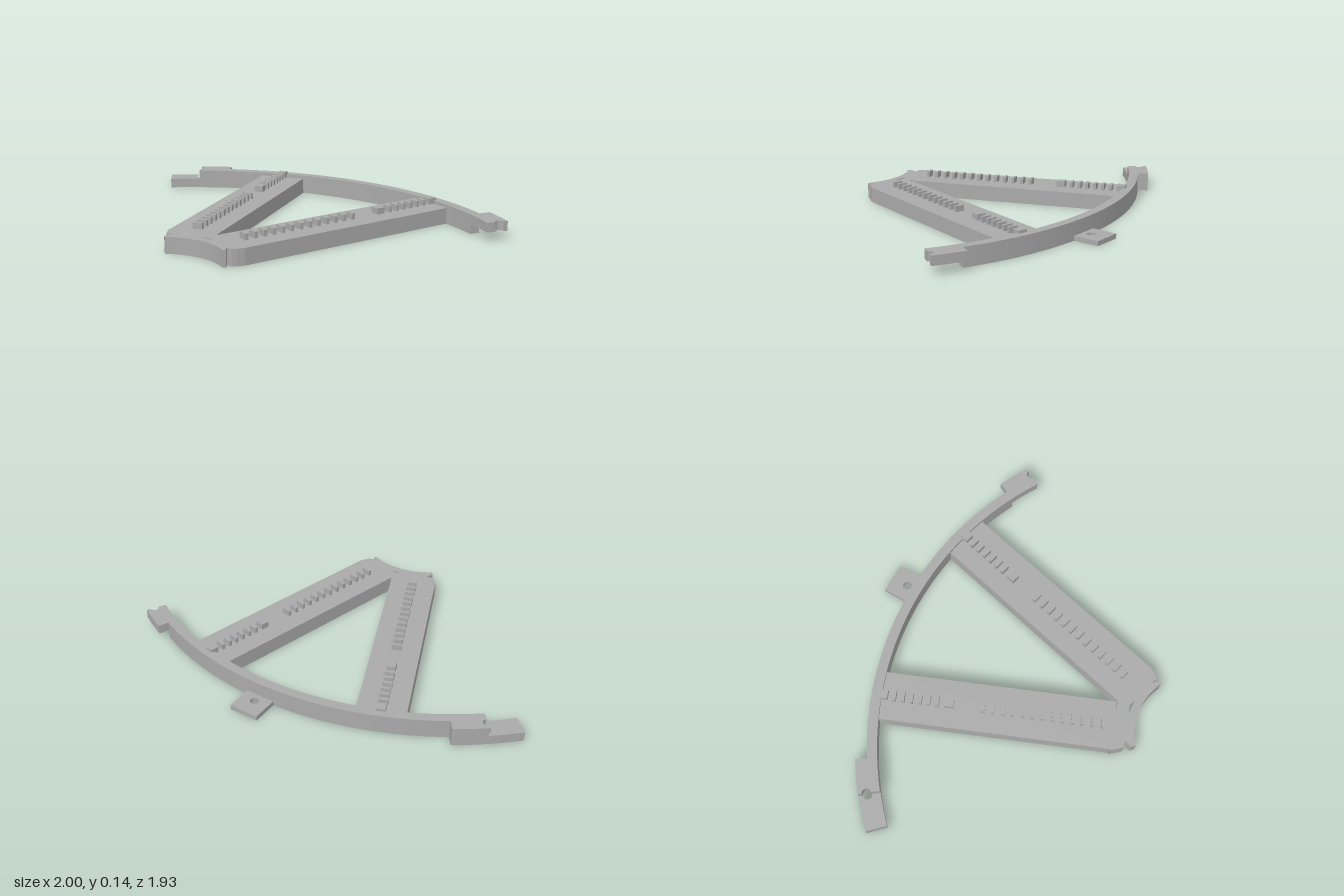
import * as THREE from 'three';

const grey = new THREE.MeshStandardMaterial({ color: 0xaaaaaa });
grey.name = 'grey plastic';

const rad = THREE.MathUtils.degToRad;
// Arc radii and hole placement, measured from the frame's centre
const IN = 1.935, OUT = 1.995, TAB = 2.064, HOLE_R = 2.014, HOLE = 0.027;
// Bearing (degrees clockwise from the back) to plane angle
const ang = (bearing) => rad(90 - bearing);
const polar = (r, bearing) => [r * Math.cos(ang(bearing)), r * Math.sin(ang(bearing))];

// Extrude a plan shape upwards between two heights
function slab(name, shape, y0, y1) {
  const geo = new THREE.ExtrudeGeometry(shape, { depth: y1 - y0, bevelEnabled: false, curveSegments: 40 });
  geo.rotateX(-Math.PI / 2);
  geo.translate(0, y0, 0);
  const mesh = new THREE.Mesh(geo, grey);
  mesh.name = name;
  return mesh;
}

function polygon(points, Type = THREE.Shape) {
  return new Type(points.map(([x, y]) => new THREE.Vector2(x, y)));
}

const rect = (x0, y0, x1, y1, Type) => polygon([[x0, y0], [x1, y0], [x1, y1], [x0, y1]], Type);

function circleHole(x, y, r) {
  const p = new THREE.Path();
  p.absarc(x, y, r, 0, Math.PI * 2, true);
  return p;
}

// Ring sector between two bearings, with an optional half-round notch in either end
function sector(r0, r1, from, to, notch, Type = THREE.Shape) {
  const s = new Type();
  s.absarc(0, 0, r1, ang(from), ang(to), true);
  if (notch === 'end') s.absarc(...polar(HOLE_R, to), HOLE, ang(to), ang(to) + Math.PI, false);
  s.absarc(0, 0, r0, ang(to), ang(from), false);
  if (notch === 'start') s.absarc(...polar(HOLE_R, from), HOLE, ang(from) + Math.PI, ang(from) + 2 * Math.PI, false);
  s.closePath();
  return s;
}

// Hollow-bottomed spoke carrying two rows of raised teeth
function makeSpoke(name, bearing, offset, start) {
  const g = new THREE.Group();
  g.name = name;
  const half = 0.148, end = 1.95, wall = 0.03;
  const frame = rect(-half, start, half, end);
  frame.holes.push(rect(-half + wall, start + 0.04, half - wall, IN - 0.02, THREE.Path));
  g.add(slab('spokeWalls', frame, 0, 0.07));
  g.add(slab('spokeTop', rect(-half, start, half, end), 0.07, 0.098));

  const block = (label, r, w, l) => {
    const m = new THREE.Mesh(new THREE.BoxGeometry(w, 0.04, l), grey);
    m.name = label;
    m.position.set(0, 0.115, -r);
    g.add(m);
  };
  for (let i = 0; i < 13; i++) block('tooth', 0.602 + i * 0.0598, 0.06, 0.02);
  for (let i = 0; i < 6; i++) block('tooth', 1.597 + i * 0.052, 0.06, 0.02);
  for (const r of [1.525, 1.925]) block('squareStud', r, 0.055, 0.055);

  g.rotation.y = -rad(bearing);
  g.position.set(offset * Math.cos(rad(bearing)), 0, offset * Math.sin(rad(bearing)));
  return g;
}

// Hub plan: concave inner arc with small clip notches at both ends
function hubShape() {
  const s = new THREE.Shape();
  s.absarc(0, 0, 0.41, ang(9.2), ang(70.5), true);
  for (const [x, y] of [
    [0.405, 0.139], [0.41, 0.18], [0.422, 0.16], [0.435, 0.149], [0.465, 0.152], [0.505, 0.164],
    [0.356, 0.42], [0.078, 0.559], [0.073, 0.475], [0.11, 0.455], [0.065, 0.43], [0.065, 0.4],
  ]) s.lineTo(x, y);
  s.closePath();
  return s;
}

export function createModel() {
  const model = new THREE.Group();
  model.name = 'arcFrame';
  const body = new THREE.Group();
  body.name = 'frameBody';
  body.position.set(-1, 0, 1.094);
  model.add(body);

  // Outer curved rail
  body.add(slab('curvedRail', sector(IN, OUT, 11.7, 70), 0, 0.118));

  // Stepped joint at the left end
  const lower = sector(IN, TAB, 0, 11.7);
  lower.holes.push(circleHole(...polar(HOLE_R, 5.85), HOLE));
  body.add(slab('jointPlate', lower, 0, 0.06));
  body.add(slab('jointStep', sector(IN, TAB, 5.85, 11.7, 'start'), 0.06, 0.118));

  // Overlapping joint at the other end
  body.add(slab('overlapTab', sector(IN, TAB, 70, 75.7, 'end'), 0.06, 0.118));

  // Square mounting lug with a screw hole
  const lugShape = rect(-0.094, 1.97, 0.094, 2.16);
  lugShape.holes.push(circleHole(0, 2.05, HOLE));
  const lug = slab('mountingLug', lugShape, 0, 0.03);
  lug.rotation.y = -rad(44.8);
  body.add(lug);

  // Spokes
  body.add(makeSpoke('leftSpoke', 22.95, 0.01, 0.53));
  body.add(makeSpoke('rightSpoke', 59.05, -0.028, 0.518));

  // Hub with a curved slot underneath and a small opening on top
  const hubBase = hubShape();
  hubBase.holes.push(sector(0.45, 0.485, 15, 66, null, THREE.Path));
  body.add(slab('hubBase', hubBase, 0, 0.07));
  const hubTop = hubShape();
  hubTop.holes.push(polygon([[0.262, 0.382], [0.308, 0.362], [0.33, 0.318]], THREE.Path));
  body.add(slab('hubTop', hubTop, 0.07, 0.098));

  return model;
}
